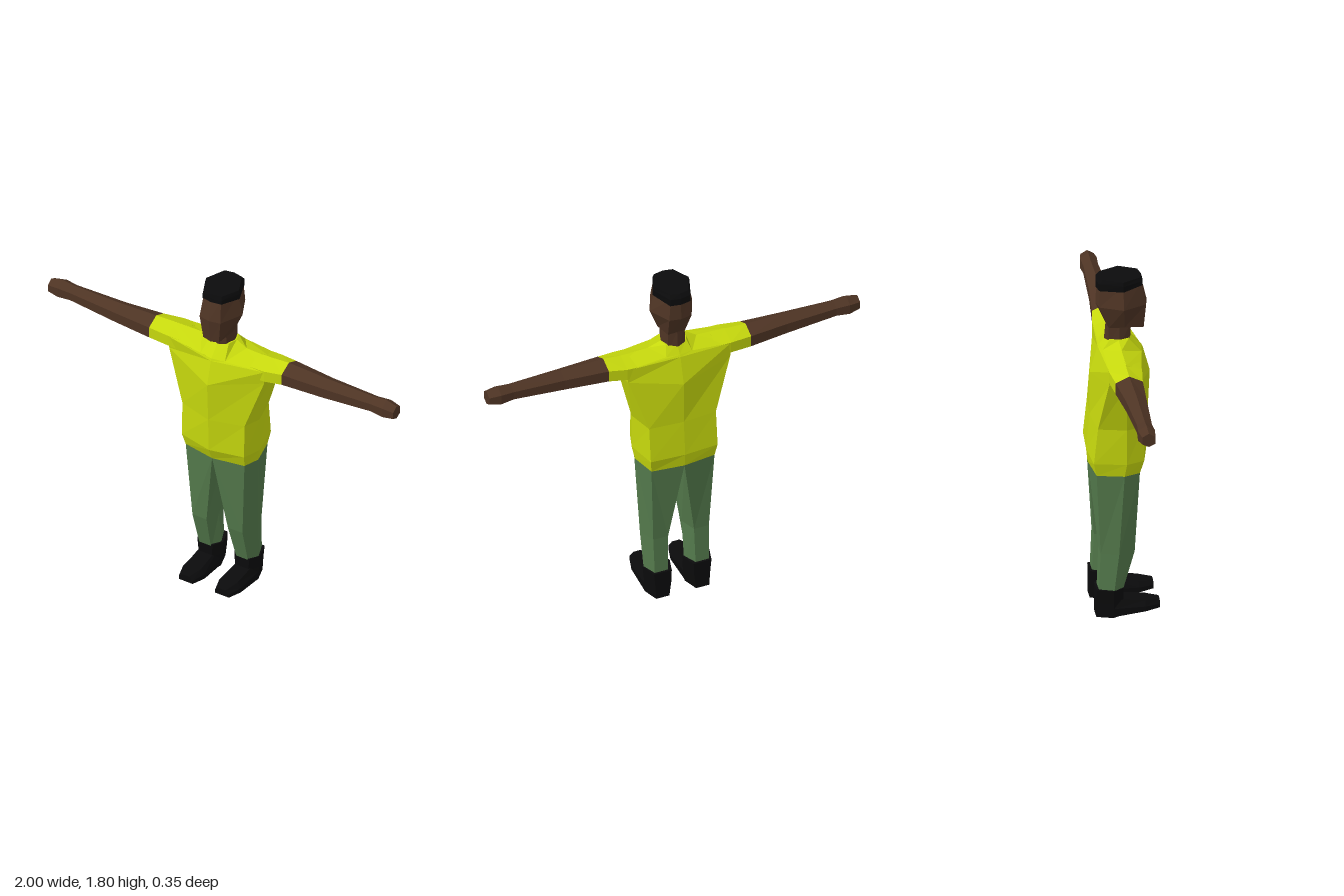
import * as THREE from 'three';

const flat = (name, color) => {
  const m = new THREE.MeshStandardMaterial({ color, flatShading: true });
  m.name = name;
  return m;
};

// Skin a list of rings (arrays of [x, y, z]), close both ends, and face the result outward.
function loft(rings) {
  const tris = [];
  const n = rings[0].length;
  for (let r = 0; r < rings.length - 1; r++) {
    const a = rings[r], b = rings[r + 1];
    for (let i = 0; i < n; i++) {
      const j = (i + 1) % n;
      tris.push([a[i], a[j], b[j]], [a[i], b[j], b[i]]);
    }
  }
  const centre = ring => [0, 1, 2].map(k => ring.reduce((s, p) => s + p[k], 0) / n);
  const first = rings[0], last = rings[rings.length - 1];
  const c0 = centre(first), c1 = centre(last);
  for (let i = 0; i < n; i++) {
    const j = (i + 1) % n;
    tris.push([c0, first[j], first[i]], [c1, last[i], last[j]]);
  }
  let volume = 0;
  for (const [a, b, c] of tris) {
    volume += new THREE.Vector3(...a).dot(new THREE.Vector3(...b).cross(new THREE.Vector3(...c)));
  }
  if (volume < 0) tris.forEach(t => t.reverse());
  const g = new THREE.BufferGeometry();
  g.setAttribute('position', new THREE.Float32BufferAttribute(tris.flat(2), 3));
  g.computeVertexNormals();
  return g;
}

// Complete a five-point half ring (front centre, side, back centre) to eight points.
const whole = half => [...half, ...half.slice(1, 4).reverse().map(([x, y, z]) => [-x, y, z])];

// Level eight-sided ring: front z, back z, corner x, half width, corner depths, side z.
const level = (y, f, b, cx, w, cf, cb, mid) =>
  whole([[0, y, f], [cx, y, cf], [w, y, mid], [cx, y, cb], [0, y, b]]);

// Six-sided arm section at x, running from y0 to y1 and zb to zf.
function armRing(x, y0, y1, zf, zb) {
  const h = y1 - y0, zc = (zf + zb) / 2;
  return [[x, y1, zc], [x, y1 - h * 0.27, zf], [x, y0 + h * 0.22, zf],
    [x, y0, zc], [x, y0 + h * 0.22, zb], [x, y1 - h * 0.27, zb]];
}

export function createModel() {
  const group = new THREE.Group();
  const skin = flat('brown skin', 0x4e3424);
  const shirt = flat('lime shirt', 0xc6d80d);
  const cloth = flat('green trousers', 0x547a4c);
  const black = flat('black', 0x0b0b0c);

  const add = (name, rings, material) => {
    const mesh = new THREE.Mesh(loft(rings), material);
    mesh.name = name;
    group.add(mesh);
  };

  // Shirt body up to the neckline
  add('shirtBody', [
    level(0.79, 0.10, -0.165, 0.17, 0.2, 0.07, -0.145, -0.01),
    level(0.86, 0.13, -0.172, 0.18, 0.212, 0.09, -0.16, 0),
    level(1.05, 0.135, -0.155, 0.18, 0.213, 0.085, -0.14, 0),
    whole([[0, 1.27, 0.145], [0.275, 1.335, 0.055], [0.285, 1.33, -0.01], [0.275, 1.335, -0.1], [0, 1.28, -0.155]]),
    whole([[0, 1.40, 0.11], [0.28, 1.41, 0.062], [0.285, 1.445, -0.015], [0.28, 1.41, -0.098], [0, 1.42, -0.115]]),
    whole([[0, 1.412, 0.105], [0.07, 1.41, 0.092], [0.13, 1.45, -0.015], [0.07, 1.43, -0.1], [0, 1.43, -0.108]]),
    level(1.477, 0.042, -0.072, 0.055, 0.07, 0.032, -0.062, -0.02),
  ], shirt);

  // Neck, head and hair
  add('neck', [
    level(1.44, 0.05, -0.085, 0.045, 0.065, 0.035, -0.07, -0.015),
    level(1.55, 0.05, -0.075, 0.045, 0.06, 0.04, -0.065, -0.015),
  ], skin);
  add('head', [
    whole([[0, 1.525, 0.115], [0.045, 1.53, 0.108], [0.068, 1.545, 0.01], [0.045, 1.535, -0.065], [0, 1.535, -0.07]]),
    level(1.66, 0.13, -0.126, 0.06, 0.115, 0.118, -0.115, 0),
    level(1.78, 0.102, -0.12, 0.05, 0.09, 0.095, -0.11, 0),
  ], skin);
  add('hair', [
    whole([[0, 1.765, 0.11], [0.055, 1.765, 0.101], [0.098, 1.752, 0], [0.055, 1.748, -0.115], [0, 1.748, -0.125]]),
    level(1.785, 0.106, -0.125, 0.055, 0.1, 0.098, -0.115, 0),
    level(1.805, 0.1, -0.11, 0.05, 0.095, 0.09, -0.1, 0),
  ], black);

  for (const s of [1, -1]) {
    const side = s > 0 ? 'left' : 'right';
    const d = s > 0 ? 0 : -0.018; // the right arm hangs slightly lower
    const cuffX = s > 0 ? 0.373 : 0.395;

    // Sleeve and bare arm, ending in a simple fist
    const cuff = armRing(s * cuffX, 1.338 + d, 1.457 + d, 0.05, -0.085);
    add(side + 'Sleeve', [
      armRing(s * 0.2, 1.325, 1.447, 0.065, -0.1),
      armRing(s * 0.28, 1.328, 1.449 + d / 4, 0.064, -0.1),
      cuff,
    ], shirt);
    add(side + 'Arm', [
      cuff,
      armRing(s * 0.6, 1.346 + d, 1.453 + d, 0.038, -0.064),
      armRing(s * 0.87, 1.365 + d, 1.45 + d, 0.022, -0.052),
      armRing(s * 0.94, 1.356 + d, 1.458 + d, 0.026, -0.058),
      armRing(s, 1.37 + d, 1.443 + d, 0.02, -0.046),
    ], skin);

    // Trouser leg: six-sided, joined to the shirt hem
    const mirror = ring => ring.map(([x, y, z]) => [s * x, y, z]);
    add(side + 'TrouserLeg', [
      [[0, 0.79, 0.098], [0.17, 0.79, 0.07], [0.2, 0.79, -0.01], [0.17, 0.79, -0.145], [0, 0.79, -0.163], [0, 0.77, -0.03]],
      [[0.062, 0.35, 0.05], [0.145, 0.35, 0.048], [0.183, 0.35, -0.035], [0.15, 0.35, -0.122], [0.07, 0.35, -0.122], [0.042, 0.35, -0.035]],
      [[0.075, 0.12, -0.015], [0.14, 0.12, -0.015], [0.172, 0.12, -0.06], [0.145, 0.12, -0.132], [0.075, 0.12, -0.132], [0.044, 0.12, -0.06]],
    ].map(mirror), cloth);

    // Boot shaft
    const shaft = (y, x0, x1, zf) => mirror([[x0 + 0.03, y, zf], [x1 - 0.03, y, zf], [x1, y, -0.06],
      [x1 - 0.025, y, -0.142], [x0 + 0.025, y, -0.142], [x0, y, -0.06]]);
    add(side + 'BootShaft', [
      shaft(0, 0.047, 0.168, -0.01),
      shaft(0.08, 0.037, 0.173, -0.008),
      shaft(0.152, 0.034, 0.18, -0.008),
    ], black);

    // Boot foot, rising a little towards the toe
    const foot = (z, x0, x1, y0, y1) => mirror([[x0, y0, z], [x1, y0, z], [x1, (y0 + y1) / 2, z],
      [x1 - 0.02, y1, z], [x0 + 0.02, y1, z], [x0, (y0 + y1) / 2, z]]);
    add(side + 'BootFoot', [
      foot(-0.06, 0.047, 0.17, 0.006, 0.094),
      foot(0.1, 0.042, 0.168, 0.025, 0.077),
      foot(0.175, 0.065, 0.145, 0.031, 0.068),
    ], black);
  }
  return group;
}
